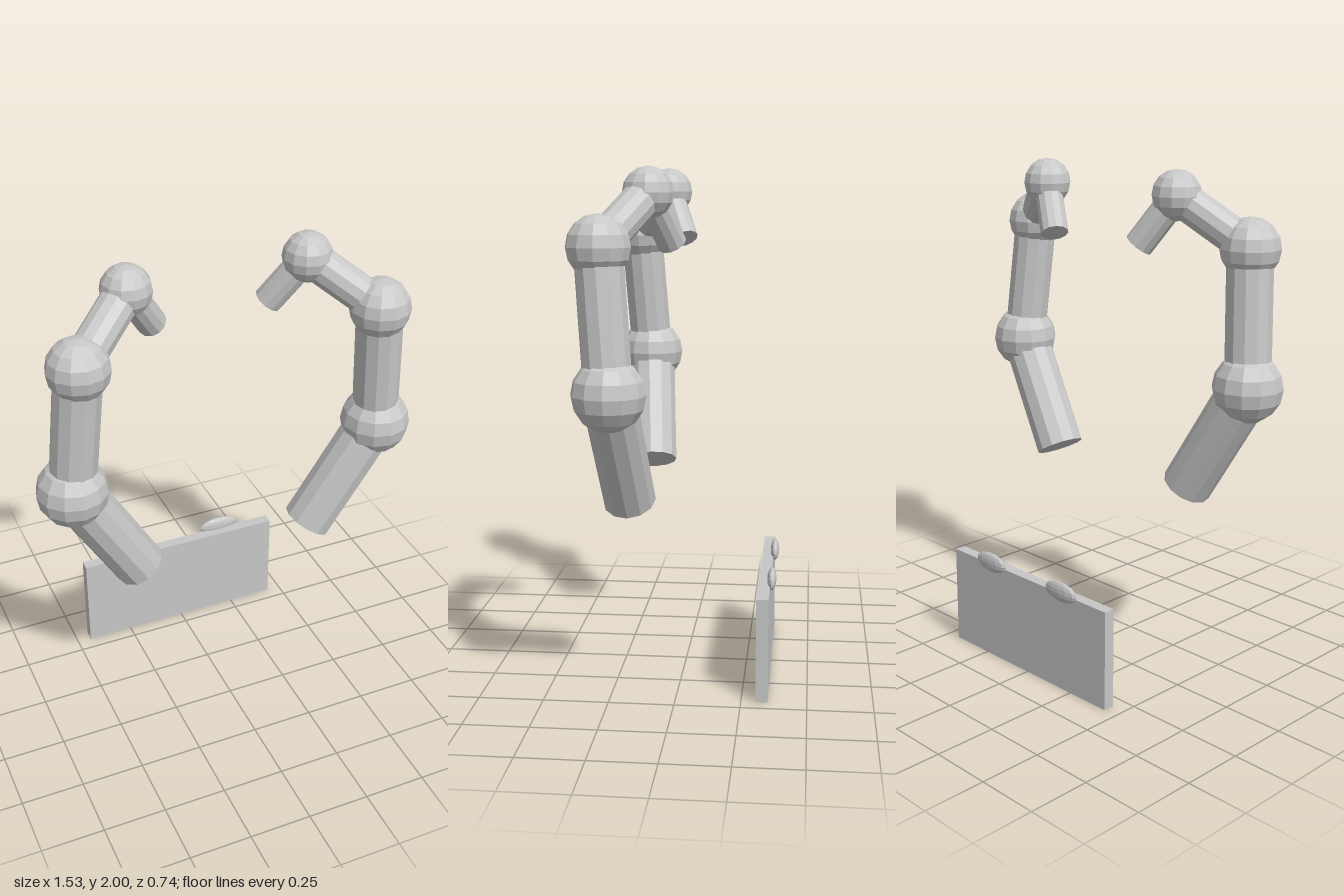
import * as THREE from 'three';

const V = (x, y, z) => new THREE.Vector3(x, y, z);

export function createModel() {
  const root = new THREE.Group();
  root.name = 'twinArms';
  const grey = new THREE.MeshStandardMaterial({ color: 0xc7c7c7, flatShading: true });
  grey.name = 'lightGrey';

  const add = (parent, geometry, name, position) => {
    const mesh = new THREE.Mesh(geometry, grey);
    mesh.name = name;
    mesh.position.copy(position);
    parent.add(mesh);
    return mesh;
  };

  // straight round segment between two points
  const limb = (parent, name, a, b, radius) => {
    const dir = b.clone().sub(a);
    const mesh = add(parent, new THREE.CylinderGeometry(radius, radius, dir.length(), 12),
      name, a.clone().add(b).multiplyScalar(0.5));
    mesh.quaternion.setFromUnitVectors(V(0, 1, 0), dir.normalize());
  };

  for (const [side, s] of [['left', 1], ['right', -1]]) {
    // jointed arm: base end, elbow, upper joint, wrist, tip
    const arm = new THREE.Group();
    arm.name = side + 'Arm';
    root.add(arm);
    const base = V(s * 0.368, 0.76, 0.18);
    const elbow = V(s * 0.627, 1.202, 0.216);
    const upper = V(s * 0.588, 1.718, 0.253);
    const wrist = V(s * 0.353, 1.904, 0.106);
    const tip = V(s * 0.232, 1.715, 0.031);

    limb(arm, 'lowerSegment', base, elbow, 0.1);
    limb(arm, 'middleSegment', elbow, upper, 0.089);
    limb(arm, 'upperSegment', upper, wrist, 0.07);
    limb(arm, 'tipSegment', wrist, tip, 0.056);
    add(arm, new THREE.SphereGeometry(0.136, 12, 8), 'elbowJoint', elbow);
    add(arm, new THREE.SphereGeometry(0.117, 12, 8), 'upperJoint', upper);
    add(arm, new THREE.SphereGeometry(0.096, 12, 8), 'wristJoint', wrist);

    // flattened knob on the panel's top back edge
    add(root, new THREE.SphereGeometry(1, 12, 8), side + 'Knob', V(s * 0.206, 0.416, -0.356))
      .scale.set(0.087, 0.04, 0.018);
  }

  // upright back panel
  add(root, new THREE.BoxGeometry(0.884, 0.405, 0.046), 'backPanel', V(0, 0.2025, -0.328));

  return root;
}
